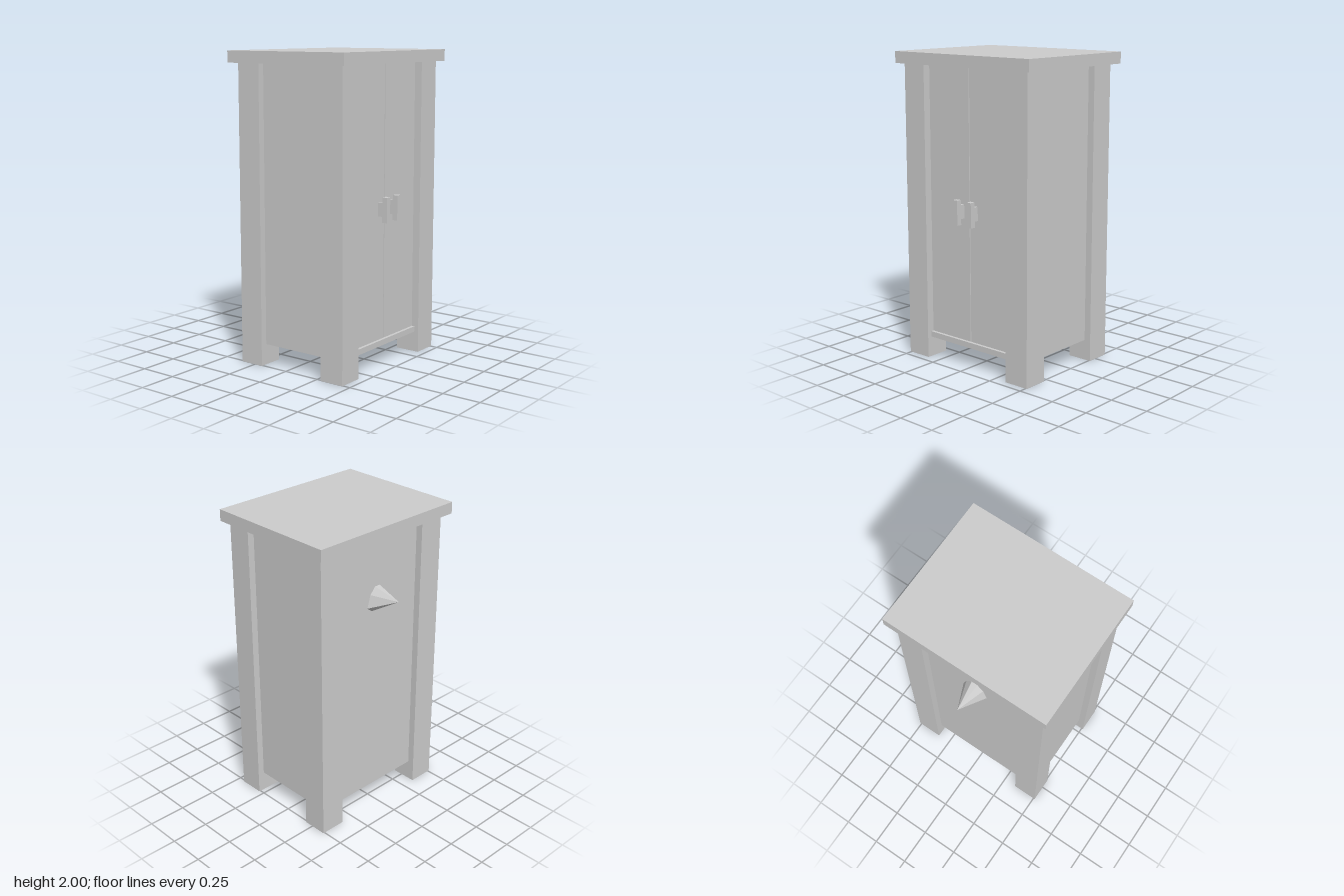
import * as THREE from 'three';

const material = new THREE.MeshStandardMaterial({ color: 0xcccccc, flatShading: true });

// Box given by its extents on each axis
function addBox(parent, name, [x0, x1], [y0, y1], [z0, z1]) {
  const mesh = new THREE.Mesh(new THREE.BoxGeometry(x1 - x0, y1 - y0, z1 - z0), material);
  mesh.position.set((x0 + x1) / 2, (y0 + y1) / 2, (z0 + z1) / 2);
  mesh.name = name;
  parent.add(mesh);
}

// Extents mirrored across x = 0 when side is -1
const mirror = (a, b, side) => (side > 0 ? [a, b] : [-b, -a]);

// Faceted spike: a fan from an outline on the back panel to one tip
function createSpike() {
  const half = [[0.02, 1.58], [0.06, 1.535], [0.085, 1.452], [0.045, 1.422]];
  const outline = [...half, [0, 1.45], ...half.map(([x, y]) => [-x, y]).reverse()];
  const baseZ = -0.31;
  const points = [];
  outline.forEach(([x, y], i) => {
    const [nx, ny] = outline[(i + 1) % outline.length];
    points.push(x, y, baseZ, nx, ny, baseZ, 0, 1.53, -0.49);
  });
  const geometry = new THREE.BufferGeometry();
  geometry.setAttribute('position', new THREE.Float32BufferAttribute(points, 3));
  geometry.computeVertexNormals();
  const spikeMaterial = material.clone();
  spikeMaterial.side = THREE.DoubleSide;
  const spike = new THREE.Mesh(geometry, spikeMaterial);
  spike.name = 'backSpike';
  return spike;
}

export function createModel() {
  const cabinet = new THREE.Group();
  cabinet.name = 'cabinet';
  const top = 1.925;

  // Overhanging top slab
  addBox(cabinet, 'topSlab', [-0.553, 0.553], [top, 2], [-0.405, 0.49]);

  for (const side of [1, -1]) {
    const label = side > 0 ? 'left' : 'right';

    // Full-height corner posts that form the legs
    addBox(cabinet, label + 'FrontLeg', mirror(0.34, 0.51, side), [0, top], [0.285, 0.45]);
    addBox(cabinet, label + 'BackLeg', mirror(0.34, 0.51, side), [0, top], [-0.355, -0.19]);

    // Recessed side panel
    addBox(cabinet, label + 'SidePanel', mirror(0.43, 0.465, side), [0.135, top], [-0.19, 0.285]);

    // Door with a raised handle
    const door = new THREE.Group();
    door.name = label + 'Door';
    addBox(door, 'doorPanel', mirror(0.003, 0.34, side), [0.172, top], [0.365, 0.4]);
    addBox(door, 'handleMount', mirror(0.048, 0.067, side), [0.975, 1.065], [0.4, 0.44]);
    addBox(door, 'handleGrip', mirror(0.04, 0.076, side), [0.94, 1.1], [0.437, 0.472]);
    cabinet.add(door);
  }

  // Back panel, floor and the rail below the doors
  addBox(cabinet, 'backPanel', [-0.34, 0.34], [0.135, top], [-0.31, -0.275]);
  addBox(cabinet, 'floor', [-0.43, 0.43], [0.135, 0.17], [-0.19, 0.285]);
  addBox(cabinet, 'floorBack', [-0.34, 0.34], [0.135, 0.17], [-0.275, -0.19]);
  addBox(cabinet, 'bottomRail', [-0.34, 0.34], [0.135, 0.172], [0.285, 0.42]);

  cabinet.add(createSpike());
  return cabinet;
}
